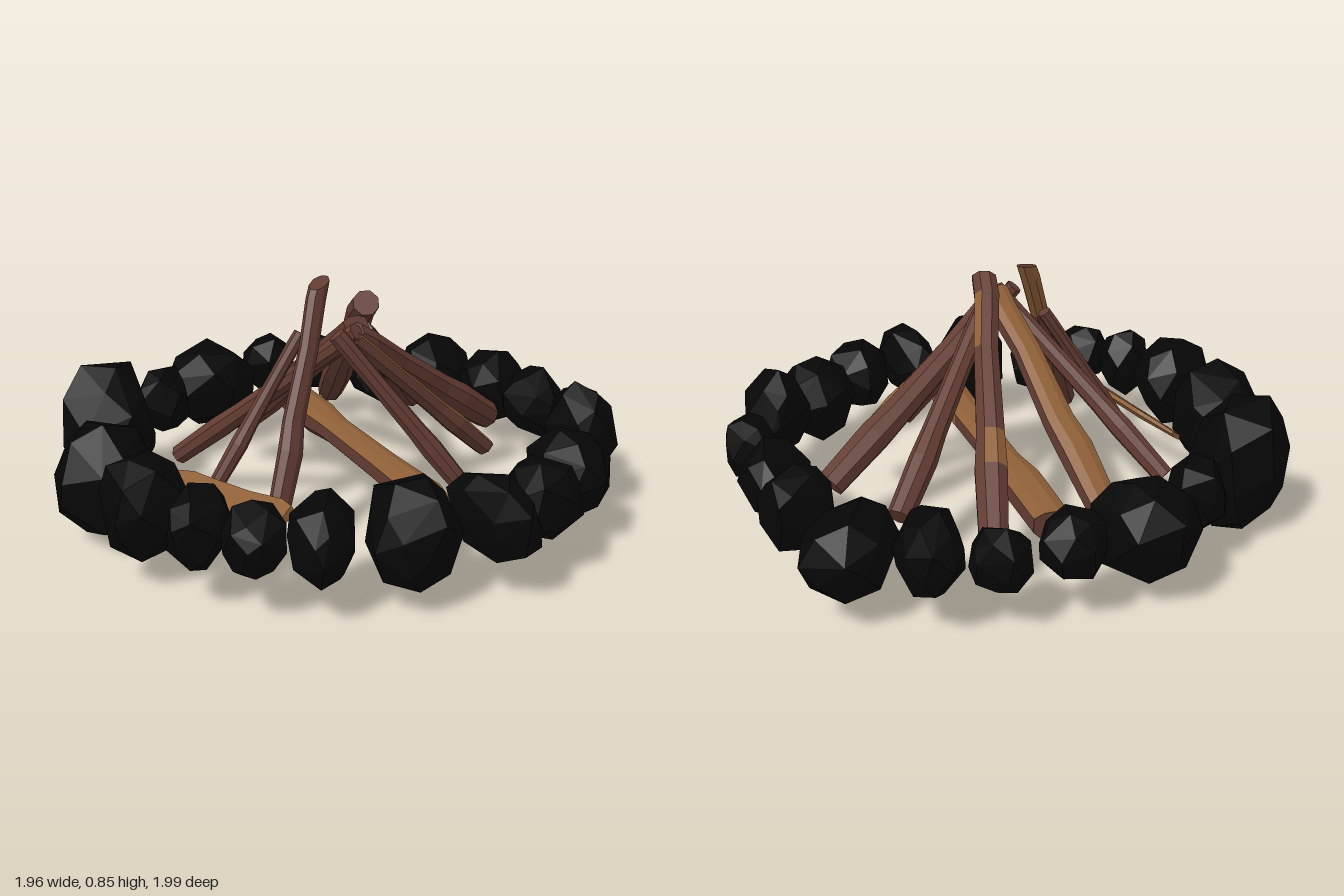
import * as THREE from 'three';
import { ConvexGeometry } from 'three/addons/geometries/ConvexGeometry.js';

const mat = (name, color) => {
  const m = new THREE.MeshStandardMaterial({ color, flatShading: true });
  m.name = name;
  return m;
};

function seeded(seed) {
  let s = seed * 7919 + 13;
  return () => (s = (s * 16807) % 2147483647) / 2147483647;
}

// Faceted boulder: hull of jittered sphere points fitted to a box
function rockGeometry(seed, [x, z, rx, rz, y0, y1, shear = 0]) {
  const rnd = seeded(seed + 3);
  for (let i = 0; i < 5; i++) rnd();
  const pts = [], n = 26;
  for (let i = 0; i < n; i++) {
    const y = 1 - (2 * i + 1) / n, a = i * 2.4 + rnd() * 0.7 + seed;
    const r = 0.88 + rnd() * 0.17, h = Math.sqrt(1 - y * y);
    const p = new THREE.Vector3(Math.cos(a) * h, y, Math.sin(a) * h).multiplyScalar(r);
    p.x += shear * p.z;
    pts.push(p);
  }
  const box = new THREE.Box3().setFromPoints(pts);
  const c = box.getCenter(new THREE.Vector3()), s = box.getSize(new THREE.Vector3());
  const scale = new THREE.Vector3(2 * rx, y1 - y0, 2 * rz).divide(s);
  const centre = new THREE.Vector3(x, (y0 + y1) / 2, z);
  pts.forEach(p => p.sub(c).multiply(scale).add(centre));
  return new ConvexGeometry(pts);
}

// Eight-sided log from a to b; some faces are split wood.
// clip flattens the upper side, thick scales the section's height,
// slant cuts the top end, roll turns the log about its own axis.
const STEPS = [0, 0.25, 0.38, 0.7, 0.92, 1];
const GIRTH = [0.95, 1.08, 0.95, 0.85, 0.88, 0.85];
function logGeometry(seed, { a, b, r, clip = 1, thick = 1, slant = 0, roll = 0, girth = GIRTH, wood = () => false }) {
  const rnd = seeded(seed + 40), N = 8;
  const A = new THREE.Vector3(...a), B = new THREE.Vector3(...b);
  const t = B.clone().sub(A).normalize();
  const u = t.clone().cross(new THREE.Vector3(0, 1, 0)).normalize().applyAxisAngle(t, -roll);
  const v = u.clone().cross(t);
  const rings = STEPS.map((s, i) => {
    const bend = i > 0 && i < 5 ? (rnd() - 0.5) * r * 0.3 : 0;
    const mid = A.clone().lerp(B, s).addScaledVector(u, bend);
    return Array.from({ length: N }, (_, k) => {
      const ang = (k + 0.5) * Math.PI / 4;
      const q = r * girth[i], h = Math.min(Math.sin(ang), clip) * thick;
      return mid.clone().addScaledVector(u, Math.cos(ang) * q).addScaledVector(v, h * q)
        .addScaledVector(t, i === 5 ? slant * h * q : 0);
    });
  });
  const bark = [], split = [];
  const tri = (list, ...ps) => ps.forEach(p => list.push(p.x, p.y, p.z));
  for (let i = 0; i < 5; i++) for (let k = 0; k < N; k++) {
    const m = (k + 1) % N, list = wood(k, i) ? split : bark;
    tri(list, rings[i][k], rings[i + 1][k], rings[i + 1][m]);
    tri(list, rings[i][k], rings[i + 1][m], rings[i][m]);
  }
  const caps = wood(5, 0) ? split : bark;
  for (let k = 1; k < N - 1; k++) {
    tri(caps, rings[0][0], rings[0][k], rings[0][k + 1]);
    tri(caps, rings[5][0], rings[5][k + 1], rings[5][k]);
  }
  const g = new THREE.BufferGeometry();
  g.setAttribute('position', new THREE.Float32BufferAttribute(bark.concat(split), 3));
  g.addGroup(0, bark.length / 3, 0);
  g.addGroup(bark.length / 3, split.length / 3, 1);
  g.computeVertexNormals();
  return g;
}

export function createModel() {
  const model = new THREE.Group();
  model.name = 'campfire';
  const stone = mat('charred stone', 0x060606);
  const bark = mat('bark', 0x633c32);
  const splitWood = mat('split wood', 0x8f6038);

  // Ring of stones: x, z, half width, half depth, bottom, top, shear
  const ring = new THREE.Group();
  ring.name = 'stoneRing';
  [
    [-0.81, 0.04, 0.17, 0.195, 0, 0.48],
    [-0.71, 0.43, 0.18, 0.19, 0.05, 0.43, 0.2],
    [-0.49, 0.68, 0.15, 0.16, 0.07, 0.41],
    [-0.285, 0.815, 0.1, 0.115, 0.12, 0.39],
    [-0.1, 0.88, 0.1, 0.11, 0.14, 0.37],
    [0.085, 0.81, 0.105, 0.165, 0.11, 0.38],
    [0.345, 0.73, 0.15, 0.14, 0.06, 0.42],
    [0.575, 0.61, 0.15, 0.13, 0.12, 0.39, 0.8],
    [0.72, 0.44, 0.13, 0.14, 0.12, 0.38],
    [0.805, 0.2, 0.14, 0.14, 0.08, 0.39],
    [0.85, -0.05, 0.125, 0.14, 0.1, 0.46],
    [0.85, -0.3, 0.105, 0.105, 0.14, 0.36, 0.2],
    [0.68, -0.47, 0.11, 0.16, 0.12, 0.38, 0.2],
    [0.52, -0.655, 0.13, 0.135, 0.1, 0.38],
    [0.285, -0.81, 0.145, 0.19, 0.08, 0.37],
    [0.03, -0.8, 0.12, 0.16, 0.1, 0.37, 0.4],
    [-0.19, -0.79, 0.095, 0.09, 0.14, 0.36],
    [-0.385, -0.7, 0.1, 0.11, 0.14, 0.38],
    [-0.575, -0.5, 0.175, 0.17, 0.07, 0.39],
    [-0.7, -0.245, 0.1, 0.105, 0.12, 0.38],
  ].forEach((spec, i) => {
    const rock = new THREE.Mesh(rockGeometry(i, spec), stone);
    rock.name = 'stone' + (i + 1);
    ring.add(rock);
  });
  model.add(ring);

  // Leaning logs, one long log lying under them and a loose plank
  const top = k => k < 3;
  const pile = new THREE.Group();
  pile.name = 'logPile';
  const logs = {
    backLog: { a: [-0.12, 0.19, -0.62], b: [0.125, 0.78, 0.17], r: 0.053,
      wood: (k, i) => (k < 2 && i === 1) || (k > 1 && k < 4 && i === 3) },
    backLeftLog: { a: [0.21, 0.2, -0.56], b: [0.11, 0.68, 0.16], r: 0.045 },
    leftLog: { a: [0.51, 0.2, -0.4], b: [0.09, 0.69, 0.24], r: 0.055 },
    groundLog: { a: [-0.28, 0.22, -0.51], b: [0.39, 0.22, 0.5], r: 0.066, clip: 0.6,
      girth: [1, 1.08, 0.85, 0.9, 1.05, 0.9], wood: (k, i) => top(k) || (k === 3 && i > 2) },
    backRightLog: { a: [-0.4, 0.18, -0.28], b: [0.1, 0.72, 0.22], r: 0.058, clip: 0.6, wood: top },
    rightLog: { a: [-0.56, 0.15, 0.04], b: [0.11, 0.71, 0.27], r: 0.038 },
    frontRightStick: { a: [-0.34, 0.2, 0.36], b: [-0.09, 0.67, 0.18], r: 0.028 },
    frontLog: { a: [-0.1, 0.19, 0.54], b: [-0.03, 0.84, 0.165], r: 0.036, thick: 1.4, slant: -0.9,
      wood: (k, i) => k > 2 && k < 7 && i > 2 },
    frontLeftStick: { a: [0.46, 0.18, 0.23], b: [0.05, 0.71, 0.31], r: 0.035 },
    leftSplitLog: { a: [0.52, 0.21, -0.07], b: [0.1, 0.69, 0.27], r: 0.042, clip: 0.6, wood: top },
    loosePlank: { a: [-0.57, 0.18, 0.32], b: [-0.05, 0.25, 0.73], r: 0.066, clip: 0.4, thick: 0.35,
      roll: -0.6, girth: [0.6, 0.9, 0.85, 1, 1.05, 0.85], wood: () => true },
  };
  Object.entries(logs).forEach(([name, spec], i) => {
    const log = new THREE.Mesh(logGeometry(i, spec), [bark, splitWood]);
    log.name = name;
    pile.add(log);
  });
  model.add(pile);
  return model;
}
